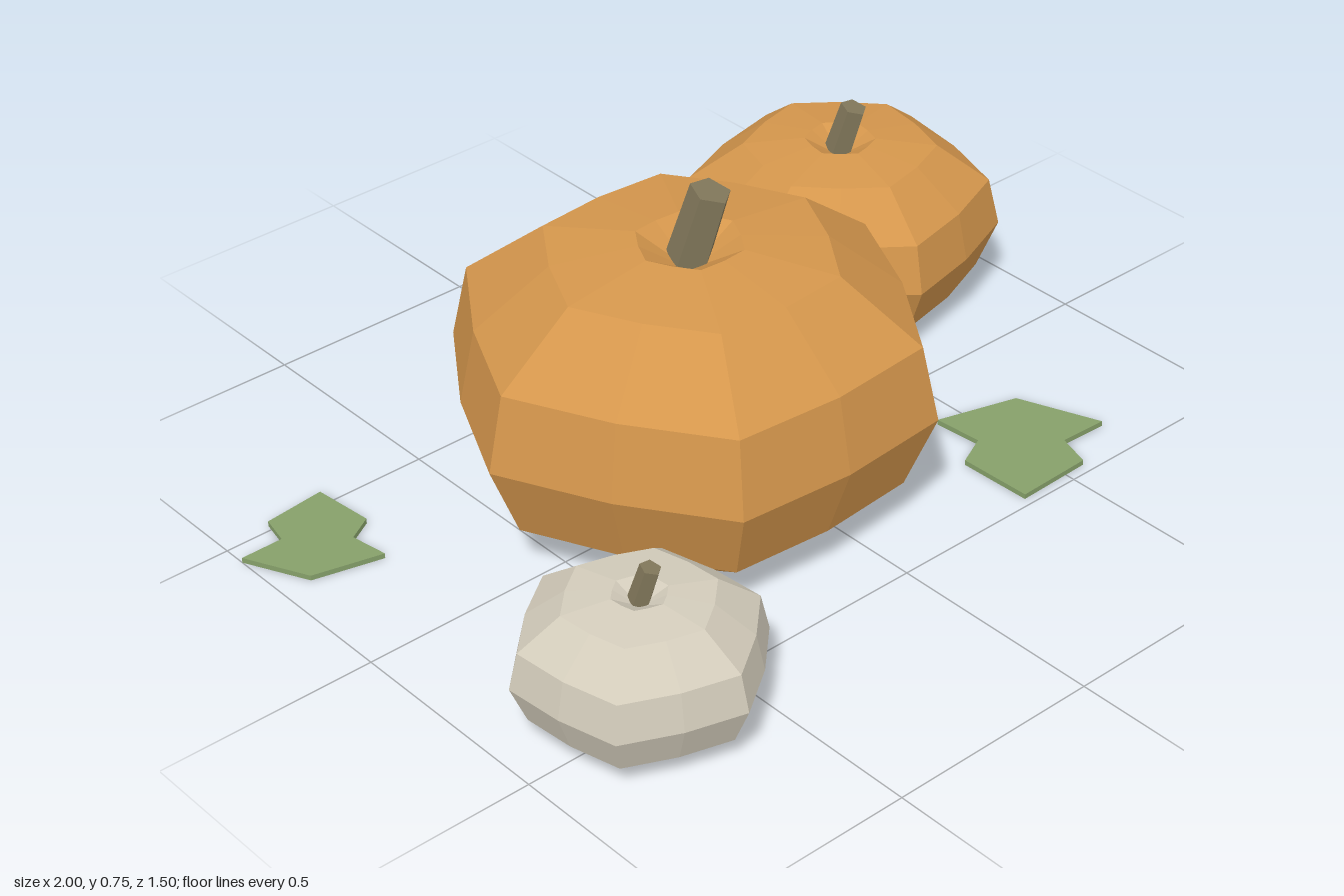
import * as THREE from 'three';

function mat(name, color) {
  const m = new THREE.MeshStandardMaterial({ color });
  m.name = name;
  return m;
}

// Separate faces so that each one gets its own flat normal
function faceted(geometry) {
  const g = geometry.index ? geometry.toNonIndexed() : geometry;
  g.computeVertexNormals();
  return g;
}

// Profile as [share of radius, share of height], from base centre to top dimple
const PROFILE = [[0, 0], [0.56, 0], [0.87, 0.19], [1, 0.468], [0.93, 0.742], [0.6, 0.96], [0.22, 1], [0, 0.89]];

// Ribbed body: twelve columns, every other one pulled in to make six lobes
function pumpkinBody(radius, height, angle) {
  const points = PROFILE.map(([r, y]) => new THREE.Vector2(r * radius, y * height));
  const g = new THREE.LatheGeometry(points, 12, Math.PI / 2 - angle);
  const p = g.attributes.position;
  for (let i = 0; i < p.count; i++) {
    const column = Math.floor(i / points.length);
    const k = column % 2 ? 0.906 : 1;
    p.setX(i, p.getX(i) * k);
    p.setZ(i, p.getZ(i) * k);
  }
  return faceted(g);
}

// Leaning five-sided stem rising out of the dimple
function stemGeometry(size) {
  const length = 0.23 * size;
  const g = new THREE.CylinderGeometry(0.045 * size, 0.051 * size, length, 5);
  g.translate(0, length / 2, 0);
  g.rotateZ(-0.15);
  g.rotateX(0.24);
  return faceted(g);
}

// Thin leaf lying on the ground, outline given as x, z
function leafGeometry(outline) {
  const shape = new THREE.Shape(outline.map(([x, z]) => new THREE.Vector2(x, -z)));
  const g = new THREE.ExtrudeGeometry(shape, { depth: 0.012, bevelEnabled: false });
  g.rotateX(-Math.PI / 2);
  return faceted(g);
}

export function createModel() {
  const orange = mat('orange skin', 0xd4964c);
  const cream = mat('cream skin', 0xd3ccbb);
  const olive = mat('stem olive', 0x81775a);
  const green = mat('leaf green', 0x86a06a);

  const model = new THREE.Group();
  model.name = 'pumpkinPatch';

  const pumpkins = [
    { name: 'largePumpkin', x: -0.132, z: -0.022, radius: 0.536, height: 0.62, angle: 0, skin: orange },
    { name: 'mediumPumpkin', x: 0.645, z: -0.395, radius: 0.368, height: 0.41, angle: 43, skin: orange },
    { name: 'smallPumpkin', x: -0.705, z: 0.485, radius: 0.267, height: 0.298, angle: 20.5, skin: cream },
  ];
  for (const { name, x, z, radius, height, angle, skin } of pumpkins) {
    const group = new THREE.Group();
    group.name = name;
    group.position.set(x, 0, z);

    const body = new THREE.Mesh(pumpkinBody(radius, height, THREE.MathUtils.degToRad(angle)), skin);
    body.name = 'body';

    const size = radius / 0.536;
    const stem = new THREE.Mesh(stemGeometry(size), olive);
    stem.name = 'stem';
    stem.position.set(0, height - 0.105 * size, -0.026 * size);

    group.add(body, stem);
    model.add(group);
  }

  const leaves = {
    backLeaf: [[-1, -0.445], [-0.9, -0.445], [-0.885, -0.515], [-0.74, -0.53],
      [-0.725, -0.385], [-0.785, -0.35], [-0.77, -0.26], [-0.93, -0.3]],
    frontLeaf: [[0.43, 0.155], [0.62, 0.21], [0.695, 0.4], [0.58, 0.395],
      [0.555, 0.475], [0.37, 0.48], [0.365, 0.305], [0.44, 0.27]],
  };
  for (const [name, outline] of Object.entries(leaves)) {
    const leaf = new THREE.Mesh(leafGeometry(outline), green);
    leaf.name = name;
    model.add(leaf);
  }
  return model;
}
